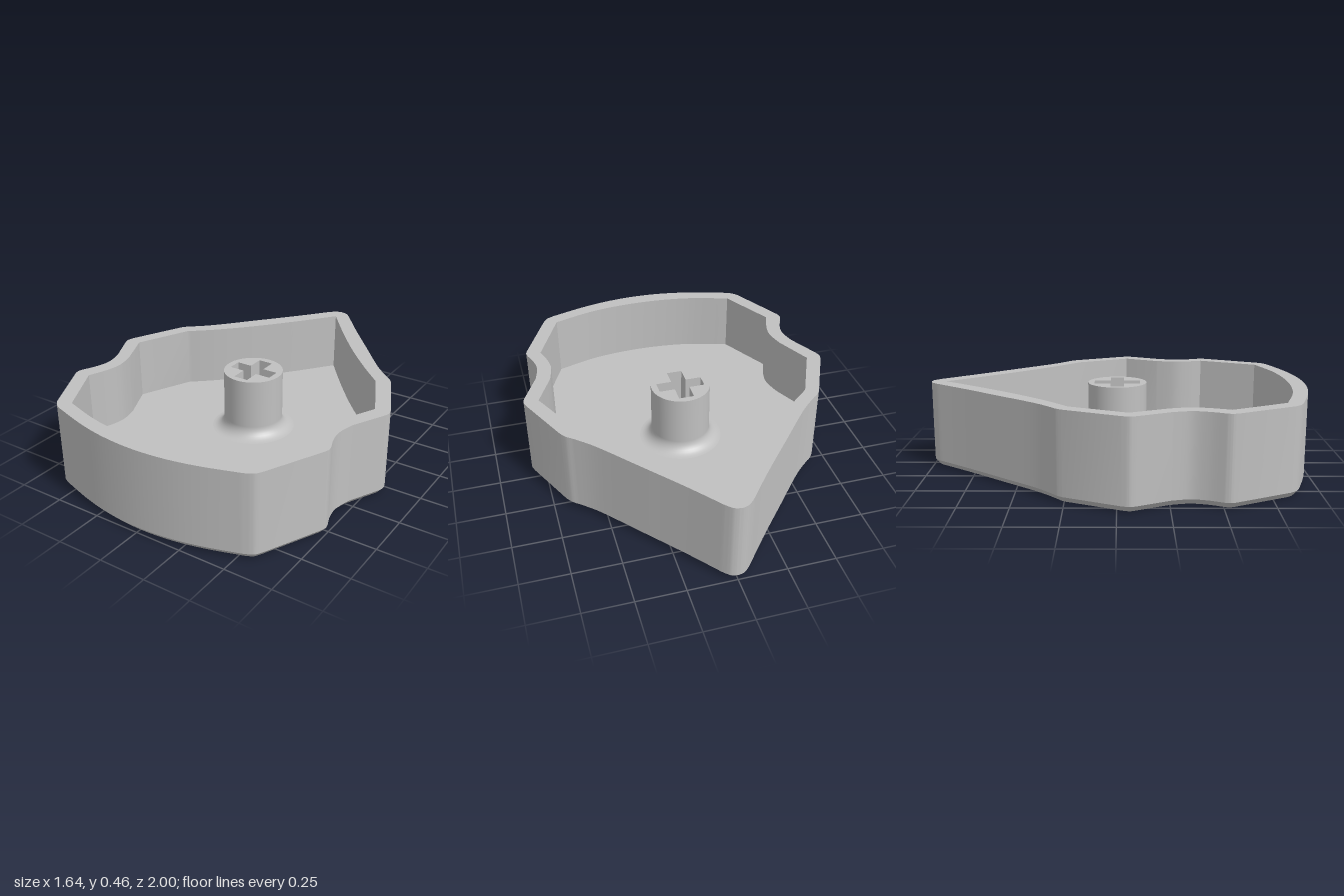
import * as THREE from 'three';
import { toCreasedNormals } from 'three/addons/utils/BufferGeometryUtils.js';

const TOP = 0.455, FLOOR = 0.125, CHAMFER = 0.03;

// Closed plan outline from [x, z] points; a one-point run is a straight edge, a longer one a smooth curve
function outline(start, runs) {
  const v = ([x, z]) => new THREE.Vector2(x, -z);
  const shape = new THREE.Shape().moveTo(start[0], -start[1]);
  for (const run of runs) {
    if (run.length === 1) shape.lineTo(run[0][0], -run[0][1]);
    else shape.splineThru(run.map(v));
  }
  const pts = shape.getPoints(5);
  if (pts[0].distanceTo(pts[pts.length - 1]) < 1e-5) pts.pop();
  return pts;
}

// Moves a counter-clockwise loop inwards by d
function inset(loop, d) {
  const n = loop.length;
  return loop.map((p, i) => {
    const a = p.clone().sub(loop[(i + n - 1) % n]).normalize();
    const b = loop[(i + 1) % n].clone().sub(p).normalize();
    const m = new THREE.Vector2(-a.y - b.y, a.x + b.x).normalize();
    const k = Math.max(0.6, m.dot(new THREE.Vector2(-a.y, a.x)));
    return p.clone().addScaledVector(m, d / k);
  });
}

// Band between two matching loops; faces outwards when going up, inwards when going down
function band(a, ya, b, yb) {
  const pos = [];
  a.forEach((p, i) => {
    const j = (i + 1) % a.length;
    const A = [p.x, ya, -p.y], B = [a[j].x, ya, -a[j].y];
    const C = [b[j].x, yb, -b[j].y], D = [b[i].x, yb, -b[i].y];
    pos.push(...A, ...B, ...C, ...A, ...C, ...D);
  });
  const g = new THREE.BufferGeometry();
  g.setAttribute('position', new THREE.Float32BufferAttribute(pos, 3));
  return toCreasedNormals(g, 0.5);
}

// Flat plate filling a loop, with an optional hole
function plate(loop, y, hole, down) {
  const shape = new THREE.Shape(loop);
  if (hole) shape.holes.push(new THREE.Path(hole));
  const g = new THREE.ShapeGeometry(shape).rotateX(-Math.PI / 2).translate(0, y, 0);
  if (down) {
    g.setIndex(Array.from(g.index.array).reverse());
    g.computeVertexNormals();
  }
  return g;
}

export function createModel() {
  const group = new THREE.Group();
  const grey = new THREE.MeshStandardMaterial({ color: 0xc0c0c0 });
  grey.name = 'plain grey';
  const add = (name, geometry) => {
    const mesh = new THREE.Mesh(geometry, grey);
    mesh.name = name;
    group.add(mesh);
  };

  // Outer outline: back tip, left flank, curved front, right flank
  const outer = outline([0, -1], [
    [[-0.035, -0.99], [-0.068, -0.96]],
    [[-0.2, -0.795], [-0.365, -0.6], [-0.535, -0.4], [-0.635, -0.305]],
    [[-0.66, -0.285], [-0.683, -0.254]],
    [[-0.81, 0.02]],
    [[-0.82, 0.058], [-0.812, 0.09]],
    [[-0.73, 0.255]],
    [[-0.71, 0.344], [-0.725, 0.425], [-0.76, 0.505]],
    [[-0.764, 0.53], [-0.757, 0.555]],
    [[-0.608, 0.84]],
    [[-0.577, 0.873], [-0.534, 0.893]],
    [[-0.349, 0.95], [-0.18, 0.985], [0, 0.998], [0.18, 0.985], [0.349, 0.95], [0.534, 0.893]],
    [[0.577, 0.87], [0.603, 0.83]],
    [[0.735, 0.55]],
    [[0.745, 0.52], [0.74, 0.49]],
    [[0.718, 0.43], [0.708, 0.354], [0.728, 0.26]],
    [[0.812, 0.09]],
    [[0.82, 0.058], [0.81, 0.02]],
    [[0.683, -0.254]],
    [[0.66, -0.285], [0.635, -0.305]],
    [[0.535, -0.4], [0.365, -0.6], [0.2, -0.795], [0.068, -0.96]],
    [[0.035, -0.99], [0, -1]],
  ]);

  // Inner outline with crisp corners
  const inner = outline([0, -0.92], [
    [[-0.15, -0.725], [-0.32, -0.52], [-0.48, -0.35], [-0.615, -0.23]],
    [[-0.743, 0.055]],
    [[-0.655, 0.245]],
    [[-0.633, 0.344], [-0.645, 0.43], [-0.682, 0.535]],
    [[-0.532, 0.817]],
    [[-0.28, 0.89], [0, 0.915], [0.28, 0.89], [0.526, 0.817]],
    [[0.667, 0.508]],
    [[0.643, 0.43], [0.633, 0.344], [0.655, 0.235]],
    [[0.743, 0.055]],
    [[0.605, -0.23]],
    [[0.48, -0.35], [0.32, -0.52], [0.15, -0.725], [0, -0.92]],
  ]);

  // Tray shell
  const base = inset(outer, 0.026);
  add('underside', plate(base, 0, null, true));
  add('bottomChamfer', band(base, 0, outer, CHAMFER));
  add('outerWall', band(outer, CHAMFER, outer, TOP));
  add('rim', plate(outer, TOP, inner));
  add('innerWall', band(inner, TOP, inner, FLOOR));
  add('trayFloor', plate(inner, FLOOR));

  // Central post with a flared foot
  const R = 0.157, F = 0.065, postTop = 0.452;
  const profile = [];
  for (let i = 0; i <= 8; i++) {
    const t = (i / 8) * Math.PI / 2;
    profile.push(new THREE.Vector2(R + F * (1 - Math.sin(t)), FLOOR + F * (1 - Math.cos(t))));
  }
  profile.push(new THREE.Vector2(R, postTop));
  add('post', new THREE.LatheGeometry(profile, 48));

  // Cross-shaped socket in the post
  const L = 0.122, w = 0.04, h = 0.036;
  const cross = [[L, -h], [L, h], [w, h], [w, L], [-w, L], [-w, h], [-L, h], [-L, -h],
    [-w, -h], [-w, -L], [w, -L], [w, -h]].map(([x, y]) => new THREE.Vector2(x, y));
  const circle = Array.from({ length: 48 }, (_, i) => {
    const a = (i / 48) * Math.PI * 2;
    return new THREE.Vector2(R * Math.cos(a), R * Math.sin(a));
  });
  add('postTop', plate(circle, postTop, cross));
  add('socketWall', band(cross, postTop, cross, FLOOR));

  return group;
}
